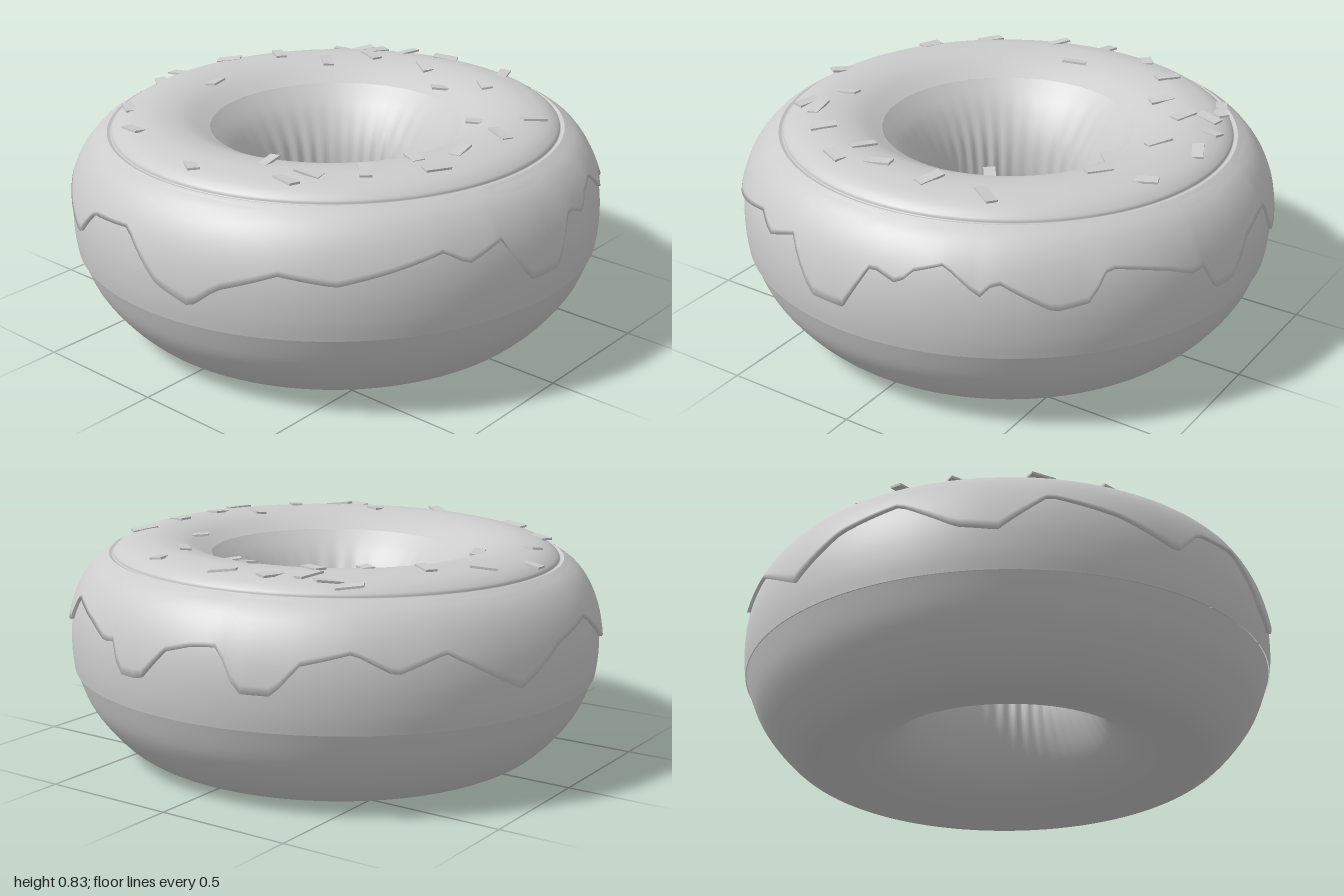
import * as THREE from 'three';
import { mergeVertices } from 'three/addons/utils/BufferGeometryUtils.js';

const SEGMENTS = 192;
const material = new THREE.MeshStandardMaterial({ color: 0xcccccc, side: THREE.DoubleSide });

// Smooth curve through a few [radius, height] points
const profile = (pts, n) =>
  new THREE.SplineCurve(pts.map(([r, y]) => new THREE.Vector2(r, y))).getPoints(n);

// Profiles run up the outside, over the top and down through the hole
const lower = profile([[0.7, 0.008], [0.74, 0.014], [0.8, 0.05], [0.87, 0.122], [0.93, 0.21], [0.972, 0.32]], 20);
const upper = profile([[0.976, 0.32], [0.984, 0.39], [0.983, 0.48], [0.967, 0.57], [0.935, 0.65], [0.89, 0.71], [0.843, 0.742]], 24);
const top = profile([[0.843, 0.742], [0.828, 0.738], [0.822, 0.752], [0.79, 0.775], [0.74, 0.792], [0.66, 0.8], [0.56, 0.782], [0.465, 0.735]], 32);
const hole = profile([[0.465, 0.735], [0.385, 0.65], [0.322, 0.53], [0.3, 0.4], [0.315, 0.28], [0.372, 0.16], [0.46, 0.075], [0.58, 0.028], [0.7, 0.008]], 40);

// Height or radius looked up along a list of pairs
function lookup(pairs, t) {
  for (let i = 1; i < pairs.length; i++) {
    const [a, va] = pairs[i - 1], [b, vb] = pairs[i];
    if (t <= b) return va + (vb - va) * THREE.MathUtils.clamp((t - a) / (b - a), 0, 1);
  }
  return pairs[pairs.length - 1][1];
}
const doughRadius = y => lookup(upper.map(p => [p.y, p.x]), y);
const topHeight = r => lookup(top.slice().reverse().map(p => [p.x, p.y]), r);

// Lathe whose vertices may be moved by a rule (radius, height, angle) -> [radius, height]
function ring(name, points, rule) {
  const source = new THREE.LatheGeometry(points, SEGMENTS);
  source.deleteAttribute('uv');
  source.deleteAttribute('normal');
  const geometry = mergeVertices(source, 1e-5);
  const pos = geometry.attributes.position;
  if (rule) {
    for (let i = 0; i < pos.count; i++) {
      const x = pos.getX(i), z = pos.getZ(i), angle = Math.atan2(x, z);
      const [r, y] = rule(Math.hypot(x, z), pos.getY(i), angle);
      pos.setXYZ(i, r * Math.sin(angle), y, r * Math.cos(angle));
    }
  }
  geometry.computeVertexNormals();
  const mesh = new THREE.Mesh(geometry, material);
  mesh.name = name;
  return mesh;
}

// Fine upright folds, strongest at the narrowest part of the hole
function folds(r, y, a) {
  const strength = Math.exp(-Math.pow((y - 0.42) / 0.17, 2));
  const wave = Math.sin(37 * a + 2 * Math.sin(3 * a)) * (0.6 + 0.4 * Math.sin(5 * a));
  return [r + 0.006 * strength * wave, y];
}

// Dripping lower edge of the icing: [degrees from the front, height]
const drips = [
  [-78, 0.4], [-72, 0.48], [-60, 0.55], [-49, 0.52], [-38, 0.56], [-28, 0.6], [-23, 0.55], [-15, 0.6],
  [-8, 0.43], [0, 0.43], [6, 0.6], [12, 0.56], [15, 0.61], [21, 0.64], [28, 0.55], [31, 0.6],
  [42, 0.5], [49, 0.52], [53, 0.62], [59, 0.6], [66, 0.57], [72, 0.53], [75, 0.54], [78, 0.44],
  [84, 0.44], [90, 0.55], [96, 0.58], [102, 0.59], [106, 0.45], [113, 0.45], [118, 0.55], [128, 0.59],
  [136, 0.52], [146, 0.58], [163, 0.43], [175, 0.55], [188, 0.6], [200, 0.48], [208, 0.46], [218, 0.6],
  [232, 0.55], [245, 0.47], [252, 0.58], [265, 0.6], [274, 0.45], [282, 0.4],
];
function drip(_, row, angle) {
  let degrees = THREE.MathUtils.radToDeg(angle);
  if (degrees < -78) degrees += 360;
  const edge = lookup(drips, degrees);
  const t = Math.max(0, row - 1) / 10;
  const y = edge + (0.738 - edge) * t;
  const lift = row < 0.5 ? -0.006 : 0.012 * (1 - t) + 0.001;
  return [doughRadius(y) + lift, y];
}

// Sprinkles on the top: x, z, heading in degrees
const sprinkles = [
  [-0.48, -0.6, 60], [-0.64, -0.4, 78], [-0.22, -0.7, 55], [-0.04, -0.79, 88], [0.18, -0.73, -55],
  [-0.06, -0.57, 20], [0.34, -0.6, 55], [0.42, -0.41, 50], [0.63, -0.49, -60], [0.65, -0.42, -35],
  [0.65, -0.34, -15], [0.71, -0.23, -15], [0.57, -0.3, 70], [0.75, -0.06, -65], [0.6, -0.05, 55],
  [0.5, 0.12, -45], [0.71, 0.25, 20], [0.55, 0.28, 50], [0.24, 0.48, -55], [0.12, 0.66, 70],
  [0.34, 0.65, -30], [-0.1, 0.65, 10], [-0.27, 0.68, -25], [-0.24, 0.56, 60], [-0.45, 0.52, 45],
  [-0.58, 0.39, -80], [-0.59, 0.21, 5], [-0.76, 0.02, 55], [-0.66, 0.36, 80],
];

export function createModel() {
  const model = new THREE.Group();
  model.name = 'donut';
  const rows = Array.from({ length: 12 }, (_, i) => new THREE.Vector2(1, i));
  model.add(
    ring('lowerDough', lower),
    ring('upperDough', upper),
    ring('icingDrips', rows, drip),
    ring('icingTop', top),
    ring('holeWall', hole, folds),
  );

  // Flat sprinkles, each lying on the icing with a slight tilt
  const group = new THREE.Group();
  group.name = 'sprinkles';
  const chip = new THREE.BoxGeometry(0.095, 0.008, 0.042);
  sprinkles.forEach(([x, z, heading], i) => {
    const mesh = new THREE.Mesh(chip, material);
    mesh.name = 'sprinkle';
    mesh.position.set(x, topHeight(Math.hypot(x, z)) + 0.003, z);
    mesh.rotation.set(0.1 * Math.sin(i * 2.1), THREE.MathUtils.degToRad(heading), 0.14 * Math.sin(i * 3.7), 'YXZ');
    group.add(mesh);
  });
  model.add(group);

  // The whole ring leans back very slightly
  model.rotation.x = -0.014;
  model.position.y = 0.004;
  const root = new THREE.Group();
  root.add(model);
  return root;
}
